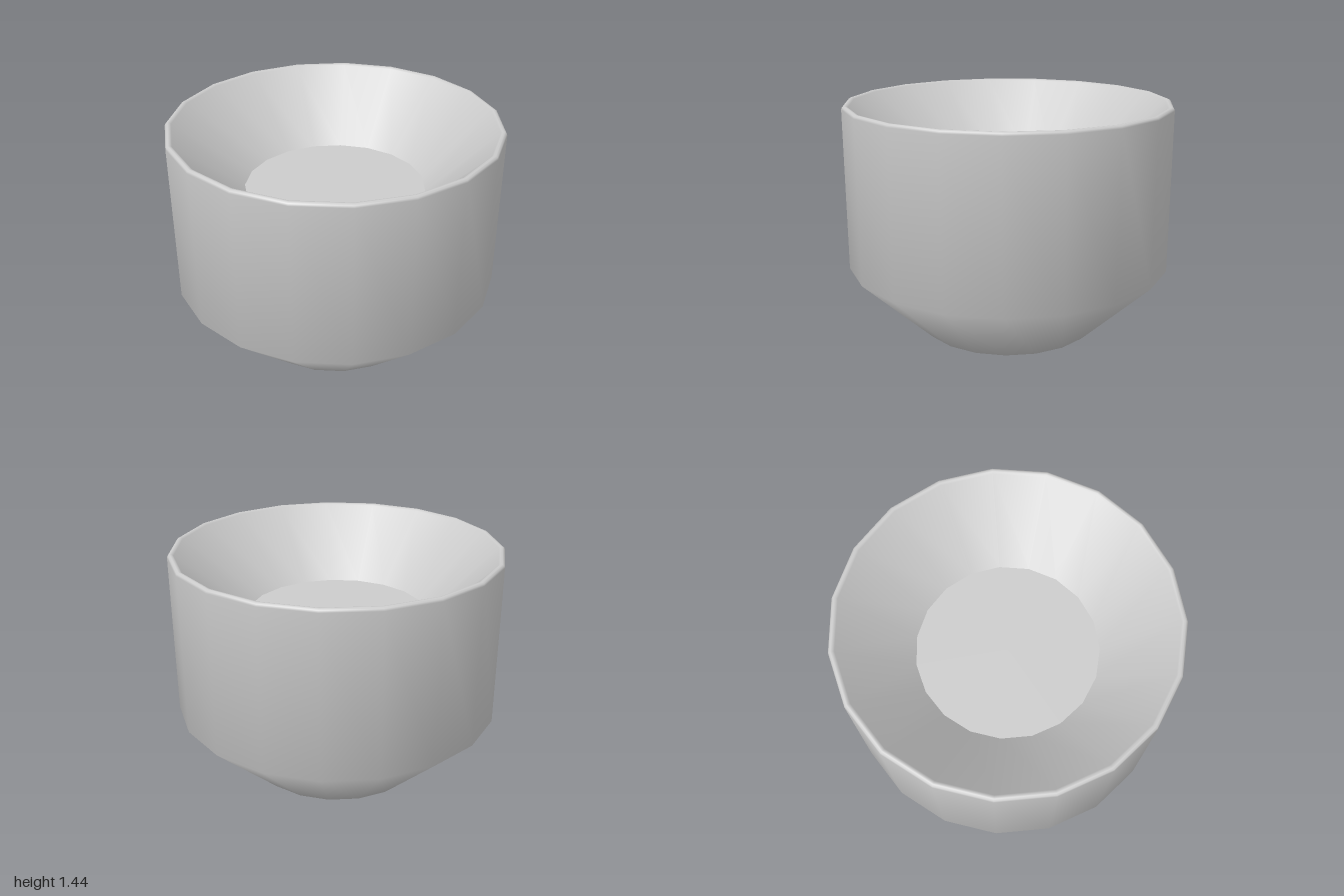
import * as THREE from 'three';

const SIDES = 19;
const RADIUS = 1.003;
const BASE_RADIUS = 0.552;
const FLOOR_Y = 1.02;

export function createModel() {
  const group = new THREE.Group();
  group.name = 'bowl';
  const material = new THREE.MeshStandardMaterial({ color: 0xcccccc });

  // Underside, sloped foot, upright wall, rounded rim and sloped inside in one smooth skin
  const profile = [
    [0, 0],
    [BASE_RADIUS, 0],
    [RADIUS, 0.43],
    [RADIUS, 1.418],
    [RADIUS - 0.005, 1.43],
    [RADIUS - 0.016, 1.437],
    [RADIUS - 0.028, 1.436],
    [RADIUS - 0.038, 1.428],
    [BASE_RADIUS, FLOOR_Y],
  ].map(([x, y]) => new THREE.Vector2(x, y));
  const shell = new THREE.Mesh(new THREE.LatheGeometry(profile, SIDES, Math.PI / 2), material);
  shell.name = 'shell';

  // Flat floor with a sharp edge against the sloped inside
  const floor = new THREE.Mesh(new THREE.CircleGeometry(BASE_RADIUS, SIDES), material);
  floor.name = 'floor';
  floor.rotation.x = -Math.PI / 2;
  floor.position.y = FLOOR_Y;

  group.add(shell, floor);

  // An odd number of sides is off centre in x by a hair
  group.position.x = -RADIUS * (1 - Math.cos(Math.PI / SIDES)) / 2;
  return group;
}
